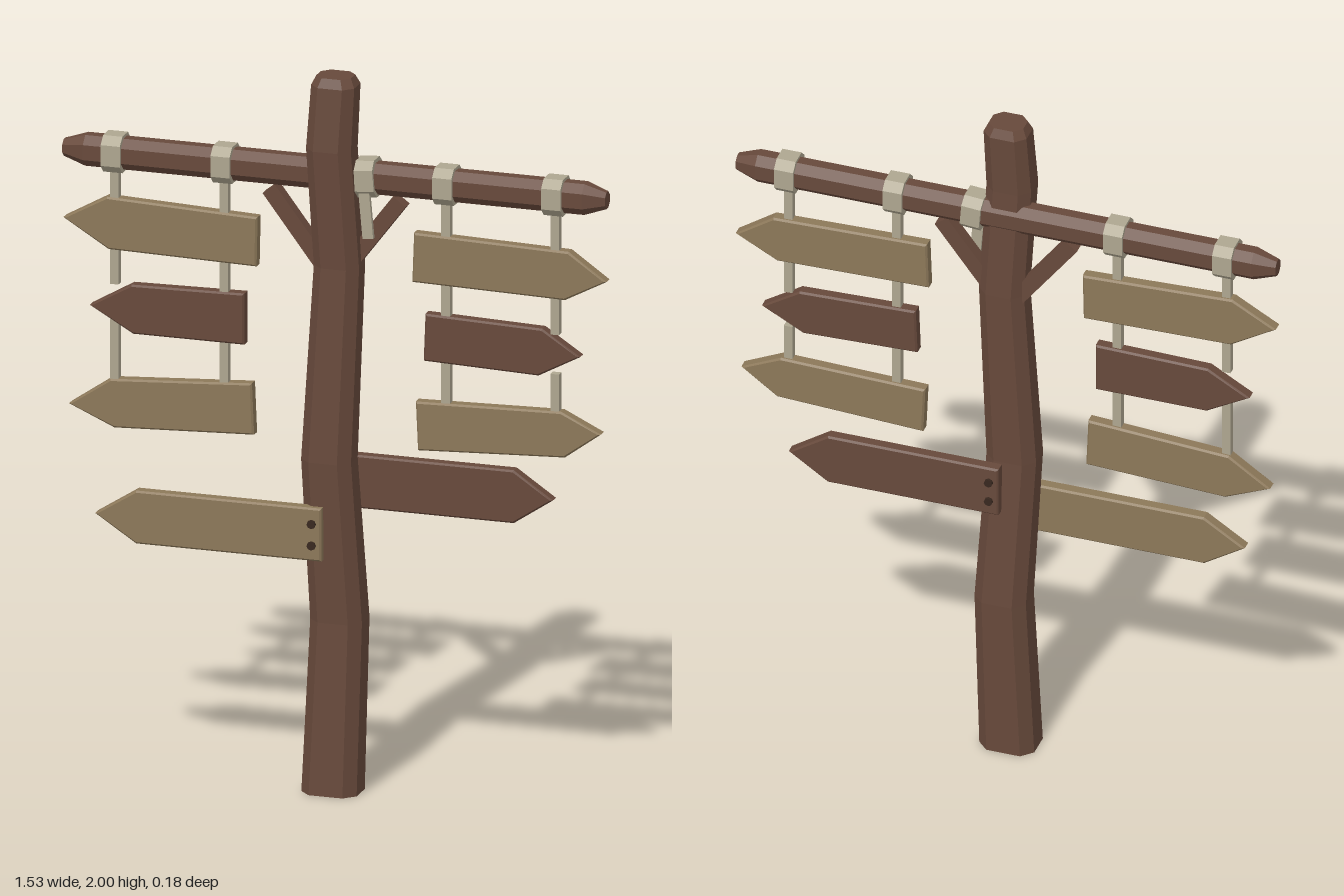
import * as THREE from 'three';

const material = (name, color) => {
  const m = new THREE.MeshStandardMaterial({ color });
  m.name = name;
  return m;
};

export function createModel() {
  const wood = material('dark wood', 0x67493b);
  const tan = material('pale wood', 0x8c7859);
  const rope = material('rope', 0xaea690);
  const iron = material('iron', 0x38281f);
  const model = new THREE.Group();

  const add = (name, geometry, mat) => {
    const mesh = new THREE.Mesh(geometry, mat);
    mesh.name = name;
    model.add(mesh);
    return mesh;
  };

  // Chamfered rectangle, counter-clockwise
  const octagon = (u0, u1, v0, v1, c) => [
    [u1, v0 + c], [u1, v1 - c], [u1 - c, v1], [u0 + c, v1],
    [u0, v1 - c], [u0, v0 + c], [u0 + c, v0], [u1 - c, v0],
  ];

  // Faceted, capped skin over a row of matching rings
  const loft = (rings) => {
    const p = [];
    const n = rings[0].length;
    const tri = (a, b, c) => p.push(...a, ...b, ...c);
    for (let i = 0; i < rings.length - 1; i++) {
      for (let j = 0; j < n; j++) {
        const k = (j + 1) % n;
        const [a, b, c, d] = [rings[i][j], rings[i][k], rings[i + 1][k], rings[i + 1][j]];
        tri(a, b, c);
        tri(a, c, d);
      }
    }
    const first = rings[0], last = rings[rings.length - 1];
    for (let j = 1; j < n - 1; j++) {
      tri(first[0], first[j + 1], first[j]);
      tri(last[0], last[j], last[j + 1]);
    }
    const g = new THREE.BufferGeometry();
    g.setAttribute('position', new THREE.Float32BufferAttribute(p, 3));
    g.computeVertexNormals();
    return g;
  };

  // Crooked post: y, x range, z range, chamfer
  const post = [
    [0, -0.08, 0.075, -0.065, 0.065, 0.03],
    [0.48, -0.06, 0.085, -0.075, 0.05, 0.03],
    [0.93, -0.08, 0.06, -0.05, 0.067, 0.03],
    [1.47, -0.05, 0.077, -0.06, 0.048, 0.028],
    [1.8, -0.066, 0.06, -0.048, 0.066, 0.028],
    [1.975, -0.055, 0.066, -0.052, 0.054, 0.026],
    [2, -0.043, 0.054, -0.04, 0.042, 0.022],
  ];
  add('post', loft(post.map(([y, x0, x1, z0, z1, c]) =>
    octagon(z0, z1, x0, x1, c).map(([z, x]) => [x, y, z]))), wood);

  // Crossbeam with tapered ends
  const Y = 1.717, Z = -0.022;
  const alongX = (sections) => loft(sections.map(([x, h, d, c]) =>
    octagon(-h, h, -d, d, c).map(([y, z]) => [x, y, z])));
  const beam = add('crossbeam', alongX([
    [-0.763, 0.023, 0.02, 0.012], [-0.7, 0.043, 0.037, 0.022],
    [0.7, 0.043, 0.037, 0.022], [0.76, 0.023, 0.02, 0.012],
  ]), wood);
  beam.position.set(0, Y, Z);

  // Rope wraps round the beam
  [-0.62, -0.312, 0.09, 0.31, 0.616].forEach((x) => {
    const wrap = add('ropeWrap', alongX([
      [-0.027, 0.051, 0.046, 0.022], [0.027, 0.051, 0.046, 0.022],
    ]), rope);
    wrap.position.set(x, Y, Z);
    if (x === 0.09) wrap.rotation.z = 0.08;
  });

  // Loose rope end beside the post
  const tail = add('looseRope', new THREE.BoxGeometry(0.03, 0.13, 0.012), rope);
  tail.position.set(0.095, 1.62, 0.012);
  tail.rotation.z = 0.09;

  // Hanging ropes between the boards: x, top, bottom
  [
    [-0.62, 1.68, 1.54], [-0.62, 1.48, 1.35], [-0.62, 1.25, 1.06],
    [-0.312, 1.68, 1.54], [-0.312, 1.48, 1.33], [-0.312, 1.25, 1.08],
    [0.31, 1.68, 1.54], [0.31, 1.48, 1.33], [0.31, 1.25, 1.08],
    [0.616, 1.68, 1.54], [0.616, 1.48, 1.33], [0.616, 1.22, 1.08],
  ].forEach(([x, top, bottom]) => {
    const strand = add('hangingRope', new THREE.BoxGeometry(0.024, top - bottom, 0.022), rope);
    strand.position.set(x, (top + bottom) / 2, Z + 0.002);
  });

  // Arrow boards with slightly worn edges
  const board = (name, corners, z, depth, mat) => {
    const b = 0.005;
    const shape = new THREE.Shape(corners.map(([x, y]) => new THREE.Vector2(x, y)));
    const g = new THREE.ExtrudeGeometry(shape, {
      depth: depth - 2 * b, bevelEnabled: true, bevelSize: b,
      bevelThickness: b, bevelOffset: -b, bevelSegments: 1,
    });
    g.translate(0, 0, z - depth / 2 + b);
    add(name, g, mat);
  };
  const hanging = [
    [[-0.762, 1.524], [-0.635, 1.447], [-0.22, 1.439], [-0.217, 1.577], [-0.64, 1.593]],
    [[-0.688, 1.286], [-0.566, 1.217], [-0.254, 1.217], [-0.254, 1.36], [-0.571, 1.354]],
    [[-0.746, 1.005], [-0.619, 0.95], [-0.227, 0.968], [-0.233, 1.111], [-0.63, 1.085]],
    [[0.222, 1.577], [0.217, 1.439], [0.645, 1.43], [0.762, 1.492], [0.656, 1.566]],
    [[0.254, 1.354], [0.249, 1.222], [0.571, 1.212], [0.688, 1.275], [0.582, 1.344]],
    [[0.227, 1.106], [0.233, 0.97], [0.645, 0.99], [0.746, 1.064], [0.635, 1.117]],
  ];
  hanging.forEach((corners, i) =>
    board('hangingBoard', corners, Z, 0.036, i % 3 === 1 ? wood : tan));

  // Nailed boards, one in front of the post and one behind
  [[-1, -0.01, 0.734, 0.063, tan], [1, 0.005, 0.852, -0.066, wood]].forEach(([s, x, y, z, mat]) => {
    board(s < 0 ? 'frontBoard' : 'backBoard', [
      [x, y - 0.074], [x, y + 0.074], [s * 0.53 + (s > 0 ? -0.043 : 0), y + 0.074],
      [s * 0.645 + (s > 0 ? -0.048 : 0), y], [s * 0.53 + (s > 0 ? -0.043 : 0), y - 0.074],
    ], z, 0.036, mat);
    [-0.03, 0.03].forEach((dy) => {
      const nail = add('nail', new THREE.CylinderGeometry(0.012, 0.012, 0.016, 8), iron);
      nail.rotation.x = Math.PI / 2;
      nail.position.set(x + s * 0.026, y + dy, z - s * 0.018);
    });
  });

  // Diagonal braces under the beam
  [[-0.183, 1.662, -0.03, 1.46], [0.183, 1.662, 0.03, 1.46]].forEach(([x0, y0, x1, y1]) => {
    const brace = add('brace', new THREE.BoxGeometry(0.044, Math.hypot(x1 - x0, y1 - y0), 0.036), wood);
    brace.position.set((x0 + x1) / 2, (y0 + y1) / 2, Z + 0.004);
    brace.rotation.z = Math.atan2(x1 - x0, y0 - y1);
  });

  return model;
}
